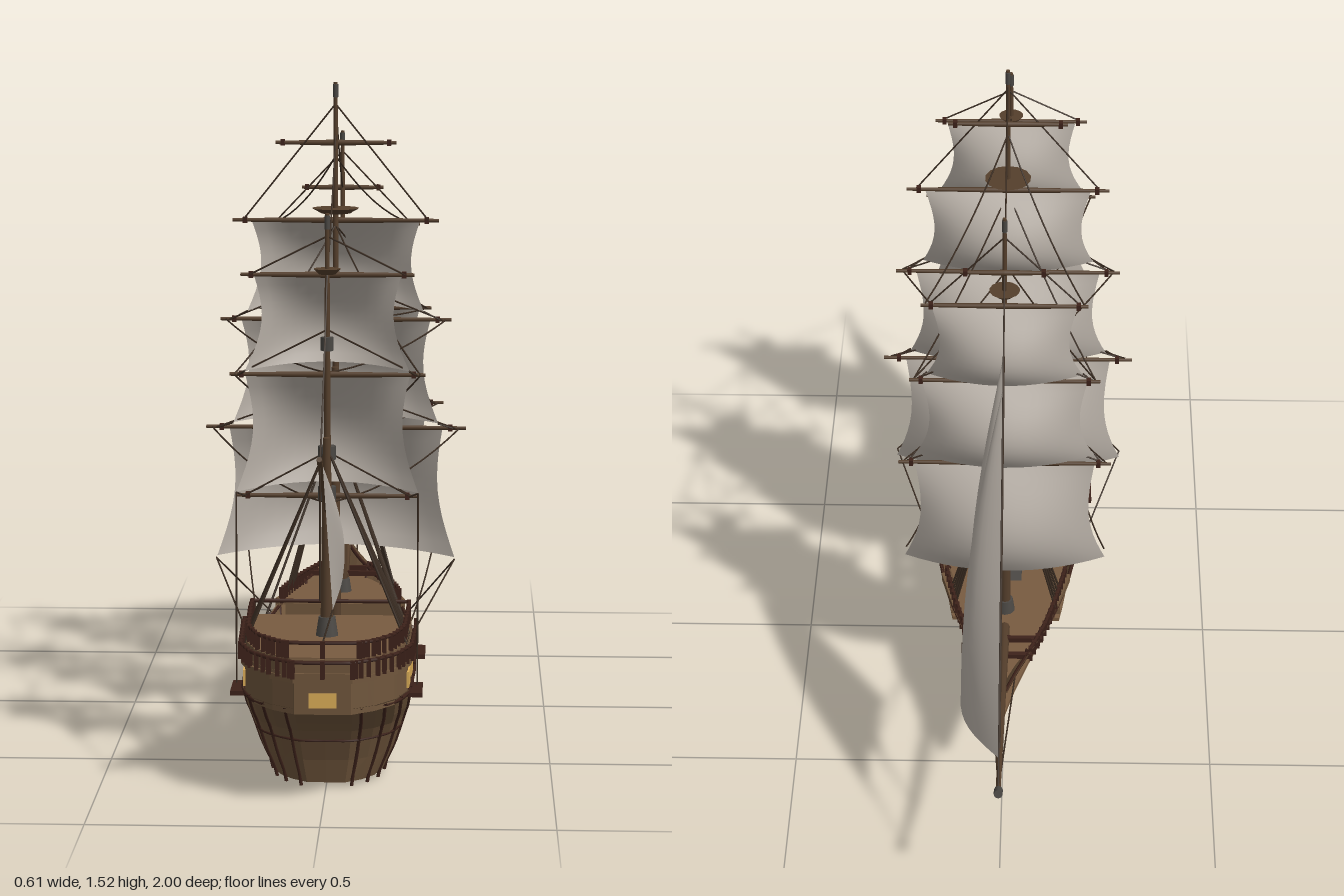
import * as THREE from 'three';

const mat = (name, color, extra = {}) => Object.assign(new THREE.MeshStandardMaterial({ color, ...extra }), { name });
const V = (x, y, z) => new THREE.Vector3(x, y, z);
const lerp = THREE.MathUtils.lerp;

// Piecewise-linear lookup in rows of [key, ...values]
function lookup(rows, k) {
  let i = 0;
  while (i < rows.length - 2 && k > rows[i + 1][0]) i++;
  const a = rows[i], b = rows[i + 1], f = (k - a[0]) / (b[0] - a[0]);
  return a.slice(1).map((v, n) => lerp(v, b[n + 1], f));
}

// Hull plan (0 = bow, 1 = stern) and levels: [level, y, bow z, stern z, half width]
const PLAN = [[0, 0], [0.074, 0.16], [0.142, 0.34], [0.21, 0.54], [0.27, 0.67], [0.345, 0.8], [0.412, 0.88],
  [0.547, 0.97], [0.75, 1], [0.885, 0.96], [0.94, 0.82], [0.975, 0.6], [0.999, 0.33], [1, 0]];
const LEVELS = [[0, 0.015, -0.27, 0.7, 0.128], [1, 0.07, -0.32, 0.715, 0.152], [2, 0.12, -0.375, 0.735, 0.168],
  [3, 0.147, -0.42, 0.755, 0.176], [4, 0.173, -0.47, 0.79, 0.183], [5, 0.228, -0.61, 0.87, 0.19]];
function hullPoint(t, level, side = 1, out = 1) {
  const [y, z0, z1, w] = lookup(LEVELS, level);
  const sheer = 0.065 * Math.max(0, 1 - t / 0.45) ** 1.5 * level / 5;
  const fine = t < 0.7 ? 1 + 0.6 * (1 - level / 5) : 1;
  return V(side * w * lookup(PLAN, t)[0] ** fine * out, y + 0.02 * (1 - t) * (1 - level / 6) + sheer, lerp(z0, z1, t));
}
const halfAt = z => 0.19 * lookup(PLAN, THREE.MathUtils.clamp((z + 0.61) / 1.48, 0, 0.999))[0];

// Surface from fn(i, j), leaving out quads that skip() names
function grid(fn, nu, nv, skip = () => false) {
  const pos = [], idx = [];
  for (let i = 0; i <= nu; i++) for (let j = 0; j <= nv; j++) pos.push(...fn(i, j).toArray());
  for (let i = 0; i < nu; i++) for (let j = 0; j < nv; j++) {
    if (skip(i, j)) continue;
    const a = i * (nv + 1) + j, b = a + nv + 1;
    idx.push(a, b, a + 1, b, b + 1, a + 1);
  }
  const g = new THREE.BufferGeometry();
  g.setAttribute('position', new THREE.Float32BufferAttribute(pos, 3));
  g.setIndex(idx);
  g.computeVertexNormals();
  return g;
}

export function createModel() {
  const ship = new THREE.Group();
  ship.name = 'sailingShip';
  const hullWood = mat('hullWood', 0x70563c, { side: THREE.DoubleSide, flatShading: true });
  const deckWood = mat('deckWood', 0x785b40);
  const sparWood = mat('sparWood', 0x553f2c);
  const trim = mat('darkTrim', 0x3d221a);
  const canvas = mat('canvas', 0xb7afa6, { side: THREE.DoubleSide });
  const iron = mat('iron', 0x4b4844);
  const glass = mat('windowGlass', 0xdcae58);
  const cord = mat('rope', 0x3b2d22);

  const add = (name, geo, m, x = 0, y = 0, z = 0) => {
    const o = new THREE.Mesh(geo, m);
    o.name = name;
    o.position.set(x, y, z);
    ship.add(o);
    return o;
  };
  const box = (name, w, h, d, m, x, y, z) => add(name, new THREE.BoxGeometry(w, h, d), m, x, y, z);
  const rod = (name, a, b, r0, r1, m, sides = 8) => {
    const d = b.clone().sub(a), o = add(name, new THREE.CylinderGeometry(r1, r0, d.length(), sides), m);
    o.position.copy(a).addScaledVector(d, 0.5);
    o.quaternion.setFromUnitVectors(V(0, 1, 0), d.normalize());
    return o;
  };
  const tube = (name, pts, r, m, n = 40) => add(name, new THREE.TubeGeometry(new THREE.CatmullRomCurve3(pts), n, r, 5), m);
  const rope = (a, b, sag = 0, r = 0.002) => {
    if (!sag) return rod('rope', a, b, r, r, cord, 5);
    const c = a.clone().lerp(b, 0.5);
    c.y -= 2 * sag;
    return add('rope', new THREE.TubeGeometry(new THREE.QuadraticBezierCurve3(a, c, b), 10, r, 5), cord);
  };
  const mirror = fn => [-1, 1].forEach(fn);

  // Hull shell with open gun ports
  const ports = [0.09, 0.17, 0.25].map(z => [z - 0.011, z + 0.011].map(e => (e + 0.445) / 1.2175));
  const ts = [...PLAN.map(p => p[0]), 0.04, 0.11, 0.65, ...ports.flat()].sort((a, b) => a - b);
  add('hull', grid((i, j) => j < 6 ? hullPoint(ts[i], 5 - j, -1) : hullPoint(ts[i], j - 6), ts.length - 1, 11,
    (i, j) => (j === 1 || j === 9) && ports.some(p => Math.abs(ts[i] - p[0]) < 1e-6)), hullWood);

  // Ribs and wales
  mirror(s => {
    for (const t of [0.13, 0.2, 0.27, 0.34, 0.41, 0.48, 0.585, 0.65, 0.72, 0.79, 0.86, 0.92, 0.96, 0.99]) {
      const pts = [0, 1, 2, 3, 4, 5].map(l => hullPoint(t, l, s, 1.01));
      pts.unshift(pts[0].clone().add(V(0, -0.01, 0)));
      tube('rib', pts, 0.0042, trim, 10);
    }
    for (const [level, r] of [[2, 0.003], [4.85, 0.005]]) {
      const pts = [];
      for (let i = 0; i <= 30; i++) pts.push(hullPoint(0.02 + 0.979 * i / 30, level, s, 1.01));
      pts.push(hullPoint(1, level, s));
      tube('wale', pts, r, trim, 60);
    }
  });

  // Horizontal plate following the hull plan
  const plate = (name, z0, z1, scale, y, h, m) => {
    const right = [], left = [];
    for (let i = 0; i <= 24; i++) {
      const z = lerp(z0, z1, 1 - (1 - i / 24) ** 2), x = Math.max(0.002, halfAt(z) * scale);
      right.push(new THREE.Vector2(x, -z));
      left.unshift(new THREE.Vector2(-x, -z));
    }
    const g = new THREE.ExtrudeGeometry(new THREE.Shape([...right, ...left]), { depth: h, bevelEnabled: false });
    add(name, g.rotateX(-Math.PI / 2), m, 0, y, 0);
  };
  plate('mainDeck', -0.12, 0.46, 0.9, 0.13, 0.01, deckWood);
  plate('foreDeck', -0.58, -0.1, 0.93, 0.23, 0.012, deckWood);
  box('foreDeckWall', 0.27, 0.1, 0.012, hullWood, 0, 0.185, -0.1);
  plate('sternCastle', 0.45, 0.87, 0.98, 0.215, 0.09, hullWood);
  plate('sternLedge', 0.45, 0.87, 1.03, 0.284, 0.014, hullWood);
  plate('poopBulwark', 0.455, 0.865, 0.97, 0.3, 0.035, hullWood);
  plate('poopDeck', 0.46, 0.86, 0.95, 0.334, 0.004, deckWood);
  box('castleWall', 0.35, 0.16, 0.012, hullWood, 0, 0.215, 0.452);
  mirror(s => {
    box('sideBulwark', 0.014, 0.055, 0.1, hullWood, s * 0.181, 0.247, 0.41);
    box('foreBulwark', 0.01, 0.02, 0.12, hullWood, s * 0.14, 0.24, -0.14).rotation.y = s * 0.25;
  });

  // Windows, hatches and deck beams
  box('sternWindow', 0.06, 0.032, 0.008, glass, 0, 0.246, 0.87);
  mirror(s => [0.67, 0.57].forEach(z => {
    const slope = (halfAt(z + 0.02) - halfAt(z - 0.02)) / 0.04;
    box('sideWindow', 0.008, 0.036, 0.06, glass, s * halfAt(z) * 0.98, 0.25, z).rotation.y = s * Math.atan(slope);
  }));
  box('hatchGrating', 0.075, 0.012, 0.08, iron, 0, 0.145, 0.02);
  box('aftHatch', 0.07, 0.012, 0.05, deckWood, 0, 0.145, 0.31);
  [0.1, 0.37].forEach(z => box('deckBeam', 0.32, 0.006, 0.008, trim, 0, 0.142, z));
  [-0.4, -0.34].forEach(z => box('bowBeam', halfAt(z) * 2.1, 0.012, 0.012, trim, 0, 0.258, z));

  // Railings: posts with a rail running round the plan
  const railing = (name, z0, z1, n, scale, y0, y1, closed) => {
    const pts = [];
    for (let i = 0; i <= n; i++) {
      const z = lerp(z0, z1, closed ? Math.sin(i / n * Math.PI / 2) : i / n);
      pts.push(V(halfAt(z) * scale, 0, z));
    }
    const runs = closed ? [[...pts, V(0, 0, z1 + 0.004), ...pts.map(p => V(-p.x, 0, p.z)).reverse()]]
      : [pts, pts.map(p => V(-p.x, 0, p.z))];
    for (const run of runs) {
      tube(name + 'Rail', run.map(p => V(p.x, y1, p.z)), 0.0045, trim, 50);
      run.forEach(p => box(name + 'Post', 0.01, y1 - y0 + 0.008, 0.01, trim, p.x, (y0 + y1) / 2, p.z));
    }
  };
  railing('gallery', 0.47, 0.87, 18, 1.03, 0.298, 0.33, true);
  railing('poop', 0.46, 0.855, 18, 0.94, 0.34, 0.37, true);
  railing('foreDeck', -0.39, -0.09, 13, 0.95, 0.24, 0.272, false);
  railing('pin', 0.26, 0.38, 6, 0.99, 0.205, 0.235, false);
  rod('poopFrontRail', V(-0.175, 0.37, 0.46), V(0.175, 0.37, 0.46), 0.0045, 0.0045, trim);

  // Square sail, bellied toward the bow with hollow sides and an arched foot
  const squareSail = (z0, top, foot, wTop, wFoot, belly) => add('squareSail', grid((i, j) => {
    const u = i / 7 - 1, v = j / 10;
    const w = lerp(wTop, wFoot, v) - 0.025 * Math.sin(Math.PI * v);
    return V(u * w, lerp(top, foot, v) + 0.012 * v * v * (1 - u * u),
      z0 - 0.008 - belly * Math.sin(Math.PI * 0.76 * v) * (1 - 0.75 * u * u) + 0.03 * u * u * v * v);
  }, 14, 10), canvas);

  // Masts. yards: [y, half length, sail foot, sail top half width, foot half width, belly]
  const masts = [
    { z: 0.625, base: 0.335, mid: 0.78, top: 1.27, disc: [1.145, 0.03], shroud: [0.76, 0.33, 0.6, 0.7], yards: [
      [0.645, 0.2], [0.915, 0.215, 0.655, 0.18, 0.2, 0.075], [1.135, 0.19, 0.925, 0.16, 0.18, 0.062]] },
    { z: 0.18, base: 0.14, mid: 0.87, top: 1.53, disc: [1.235, 0.055], shroud: [0.73, 0.23, 0.25, 0.36], yards: [
      [0.722, 0.305, 0.415, 0.25, 0.28, 0.1], [0.978, 0.27, 0.735, 0.22, 0.24, 0.085], [1.21, 0.24, 1, 0.195, 0.205, 0.075], [1.39, 0.14]] },
    { z: -0.235, base: 0.23, mid: 0.87, top: 1.39, disc: [1.195, 0.035], shroud: [0.75, 0.25, -0.21, -0.15], yards: [
      [0.715, 0.25, 0.425, 0.21, 0.24, 0.084], [0.952, 0.22, 0.73, 0.19, 0.21, 0.077], [1.16, 0.19, 0.96, 0.165, 0.18, 0.068], [1.25, 0.1]] },
  ];
  for (const m of masts) {
    const zl = m.z + 0.027;
    rod('lowerMast', V(0, m.base, zl), V(0, m.mid, zl), 0.015, 0.009, sparWood, 10);
    rod('topMast', V(0, m.mid - 0.17, m.z), V(0, m.top, m.z), 0.0085, 0.0045, sparWood);
    rod('mastFoot', V(0, m.base, zl), V(0, m.base + 0.045, zl), 0.026, 0.019, iron, 10);
    for (const y of [m.mid - 0.14, m.mid - 0.05]) rod('mastCap', V(0, y, zl - 0.013), V(0, y + 0.03, zl - 0.013), 0.02, 0.02, iron);
    rod('topMastCap', V(0, m.mid + 0.19, m.z + 0.008), V(0, m.mid + 0.22, m.z + 0.008), 0.014, 0.014, iron);
    const [dy, dr] = m.disc;
    rod('lookout', V(0, dy - 0.008, m.z), V(0, dy + 0.004, m.z), dr * 0.6, dr, sparWood, 14);
    rod('mastTip', V(0, m.top - 0.035, m.z), V(0, m.top - 0.005, m.z), 0.006, 0.006, iron);
    m.yards.forEach(([y, w, foot, wt, wf, belly], k) => {
      mirror(s => {
        rod('yard', V(0, y, m.z - 0.006), V(s * w, y, m.z - 0.006), 0.007, 0.004, sparWood);
        box('yardBand', 0.01, 0.014, 0.014, trim, s * w * 0.88, y, m.z - 0.006);
        if (k === 2) rope(V(s * w * 0.9, y, m.z), V(0, m.top - 0.05, m.z));
        if (k < 2) rope(V(s * w * 0.92, y, m.z), V(0, y + 0.1, m.z));
        if (foot && k > 0) rope(V(s * wf, foot, m.z + 0.015), V(s * m.yards[k - 1][1] * 0.9, m.yards[k - 1][0], m.z));
      });
      if (foot) squareSail(m.z, y - 0.004, foot, wt, wf, belly);
    });
    // Shrouds and their side platforms
    const [sy, by, za, zb] = m.shroud;
    mirror(s => {
      for (let i = 0; i < 5; i++) {
        const z = lerp(za, zb, i / 4);
        rope(V(0, sy, zl), V(s * (halfAt(z) - 0.005), by, z), 0, 0.0028);
      }
      const zc = (za + zb) / 2;
      if (m.z > 0) box('shroudPlatform', 0.035, 0.01, 0.095, trim, s * (halfAt(zc) + 0.01), 0.215, zc);
    });
  }

  // Braces and stays between the masts
  const [mizzen, main, fore] = masts;
  const brace = (m, k, to, y, sag) => mirror(s => rope(V(s * m.yards[k][1] * 0.95, m.yards[k][0], m.z), V(0, y, to.z), sag));
  [[mizzen, 1, main, 1.2, 0.02], [mizzen, 1, main, 0.73, 0.03], [mizzen, 0, main, 0.72, 0.02], [fore, 1, main, 1.2, 0.02],
    [fore, 1, main, 0.985, 0.01], [fore, 0, main, 0.73, 0.02], [main, 1, fore, 0.94, 0.01], [main, 0, mizzen, 0.63, 0.03],
    [fore, 2, main, 1.36, 0.03], [main, 1, mizzen, 0.92, 0.02]].forEach(a => brace(...a));
  rope(V(0, 1.41, main.z), V(0, 1.14, mizzen.z), 0.02);
  rope(V(0, 1.49, main.z), V(0, 1.25, fore.z), 0.02);
  rope(V(0, 1.15, mizzen.z), V(0, 0.79, 0.97), 0.03);
  mirror(s => {
    rope(V(s * 0.28, 0.415, 0.21), V(s * 0.19, 0.31, 0.5));
    rope(V(s * 0.24, 0.425, -0.2), V(s * 0.18, 0.28, 0.27), 0.02);
    rope(V(s * 0.28, 0.415, 0.21), V(s * 0.165, 0.23, -0.02));
    rope(V(s * 0.2, 0.655, 0.64), V(s * 0.2, 0.23, 0.66));
    rope(V(s * 0.03, 0.27, -0.48), V(0, 0.36, -0.97));
  });

  // Bowsprit and forestays
  rod('bowsprit', V(0, 0.245, -0.28), V(0, 0.366, -0.985), 0.013, 0.005, sparWood);
  rod('bowspritCap', V(0, 0.362, -0.975), V(0, 0.37, -0.998), 0.01, 0.01, iron);
  rope(V(0, 1.25, fore.z), V(0, 0.367, -0.975));
  rope(V(0, 1.16, fore.z), V(0, 0.345, -0.82));

  // Triangular sail between head, tack and clew, bellied sideways
  const triSail = (name, head, tack, clew, belly, hollow) => add(name, grid((i, j) => {
    const u = i / 10, v = j / 12;
    const p = head.clone().lerp(tack.clone().lerp(clew, u), v);
    p.x += belly * Math.sin(Math.PI * u) * Math.sin(Math.PI * Math.min(1, v * 0.75));
    p.y += hollow * Math.sin(Math.PI * u) * v * v;
    return p;
  }, 10, 12), canvas);
  triSail('innerJib', V(0, 1.09, -0.335), V(0, 0.385, -0.8), V(0.07, 0.362, -0.475), 0.05, -0.005);
  triSail('outerJib', V(0, 1.05, -0.405), V(0, 0.415, -0.93), V(0.09, 0.362, -0.62), 0.05, -0.005);
  rope(V(0.07, 0.362, -0.475), V(0.1, 0.25, -0.3), 0.01);
  rope(V(0.09, 0.362, -0.62), V(0.1, 0.26, -0.36), 0.01);

  // Lateen sail on the aftermost mast
  rod('lateenYard', V(0, 0.45, 0.33), V(0, 0.795, 1), 0.006, 0.006, sparWood);
  triSail('lateenSail', V(0.005, 0.775, 0.96), V(0.005, 0.455, 0.345), V(0.02, 0.435, 0.825), 0.03, 0.02);
  rope(V(0, 0.78, 0.965), V(0, 0.49, 0.975));
  rope(V(0.02, 0.435, 0.825), V(0, 0.37, 0.86));
  return ship;
}
